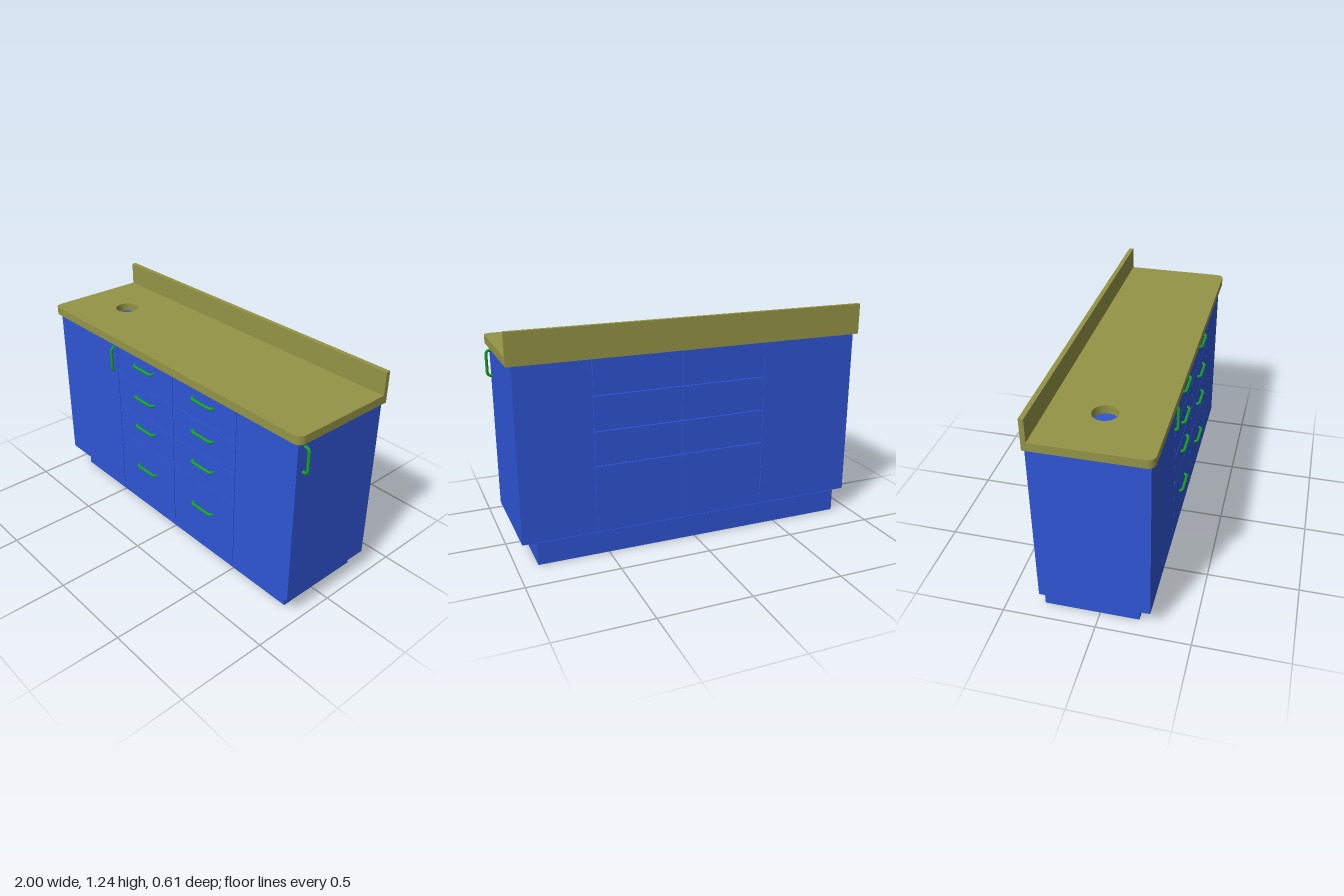
import * as THREE from 'three';

const blue = new THREE.MeshStandardMaterial({ color: 0x2f55d4 });
const olive = new THREE.MeshStandardMaterial({ color: 0x949446 });
const green = new THREE.MeshStandardMaterial({ color: 0x18a028 });

// Box given by its extents on each axis
function block(name, material, [x0, x1], [y0, y1], [z0, z1]) {
  const mesh = new THREE.Mesh(new THREE.BoxGeometry(x1 - x0, y1 - y0, z1 - z0), material);
  mesh.position.set((x0 + x1) / 2, (y0 + y1) / 2, (z0 + z1) / 2);
  mesh.name = name;
  return mesh;
}

// Bent-rod pull: runs along x, stands out along +z
function handleGeometry(length) {
  const r = 0.008, h = length / 2 - r, out = 0.035 - r, bend = 0.022;
  const v = (x, z) => new THREE.Vector3(x, 0, z);
  const path = new THREE.CurvePath();
  path.add(new THREE.LineCurve3(v(-h, -0.005), v(-h, out - bend)));
  path.add(new THREE.QuadraticBezierCurve3(v(-h, out - bend), v(-h, out), v(-h + bend, out)));
  path.add(new THREE.LineCurve3(v(-h + bend, out), v(h - bend, out)));
  path.add(new THREE.QuadraticBezierCurve3(v(h - bend, out), v(h, out), v(h, out - bend)));
  path.add(new THREE.LineCurve3(v(h, out - bend), v(h, -0.005)));
  return new THREE.TubeGeometry(path, 48, r, 12);
}

// Worktop slab with rounded front corners and a round cut-out
function worktop() {
  const x0 = -1, x1 = 0.99, back = 0.28, front = -0.303, r = 0.04;
  const shape = new THREE.Shape();
  shape.moveTo(x0, back);
  shape.lineTo(x0, front + r);
  shape.absarc(x0 + r, front + r, r, Math.PI, Math.PI * 1.5, false);
  shape.lineTo(x1 - r, front);
  shape.absarc(x1 - r, front + r, r, -Math.PI / 2, 0, false);
  shape.lineTo(x1, back);
  shape.closePath();
  const hole = new THREE.Path();
  hole.absarc(-0.69, 0.003, 0.065, 0, Math.PI * 2, true);
  shape.holes.push(hole);
  const geometry = new THREE.ExtrudeGeometry(shape, { depth: 0.045, bevelEnabled: false, curveSegments: 16 });
  geometry.rotateX(-Math.PI / 2);
  const mesh = new THREE.Mesh(geometry, olive);
  mesh.position.y = 1.07;
  mesh.name = 'worktop';
  return mesh;
}

export function createModel() {
  const model = new THREE.Group();
  model.name = 'baseCabinet';
  const depth = [-0.305, 0.281], gap = 0.002;
  const bottom = 0.13, top = 1.07;

  // Plinth, worktop and upstand
  model.add(block('plinth', blue, [-0.9, 0.887], [0, 0.125], [-0.3, 0.21]));
  model.add(worktop());
  model.add(block('backsplash', olive, [-1, 0.99], [top, 1.24], [-0.305, -0.28]));

  // End cupboards
  model.add(block('rightCupboard', blue, [-0.965, -0.404 - gap], [bottom, top], depth));
  model.add(block('leftCupboard', blue, [0.565 + gap, 0.965], [bottom, top], depth));

  // Two banks of four drawers, with their pulls
  const levels = [bottom, 0.5, 0.69, 0.88, top];
  const pullHeights = [0.348, 0.62, 0.807, 1.0];
  const pull = handleGeometry(0.17);
  for (const [x0, x1] of [[-0.404, 0.08], [0.08, 0.565]]) {
    pullHeights.forEach((y, i) => {
      const y0 = levels[i] + (i > 0 ? gap : 0);
      const y1 = levels[i + 1] - (i < 3 ? gap : 0);
      model.add(block('drawer', blue, [x0 + gap, x1 - gap], [y0, y1], depth));
      const handle = new THREE.Mesh(pull, green);
      handle.position.set((x0 + x1) / 2, y, 0.271);
      handle.name = 'drawerHandle';
      model.add(handle);
    });
  }

  // Upright door pulls: one on the front, one on the left end
  const doorPull = handleGeometry(0.155).rotateZ(Math.PI / 2);
  const frontPull = new THREE.Mesh(doorPull, green);
  frontPull.position.set(-0.437, 0.965, 0.271);
  frontPull.name = 'frontDoorHandle';
  const endPull = new THREE.Mesh(doorPull, green);
  endPull.position.set(0.965, 0.965, 0.236);
  endPull.rotation.y = Math.PI / 2;
  endPull.name = 'endDoorHandle';
  model.add(frontPull, endPull);

  return model;
}
